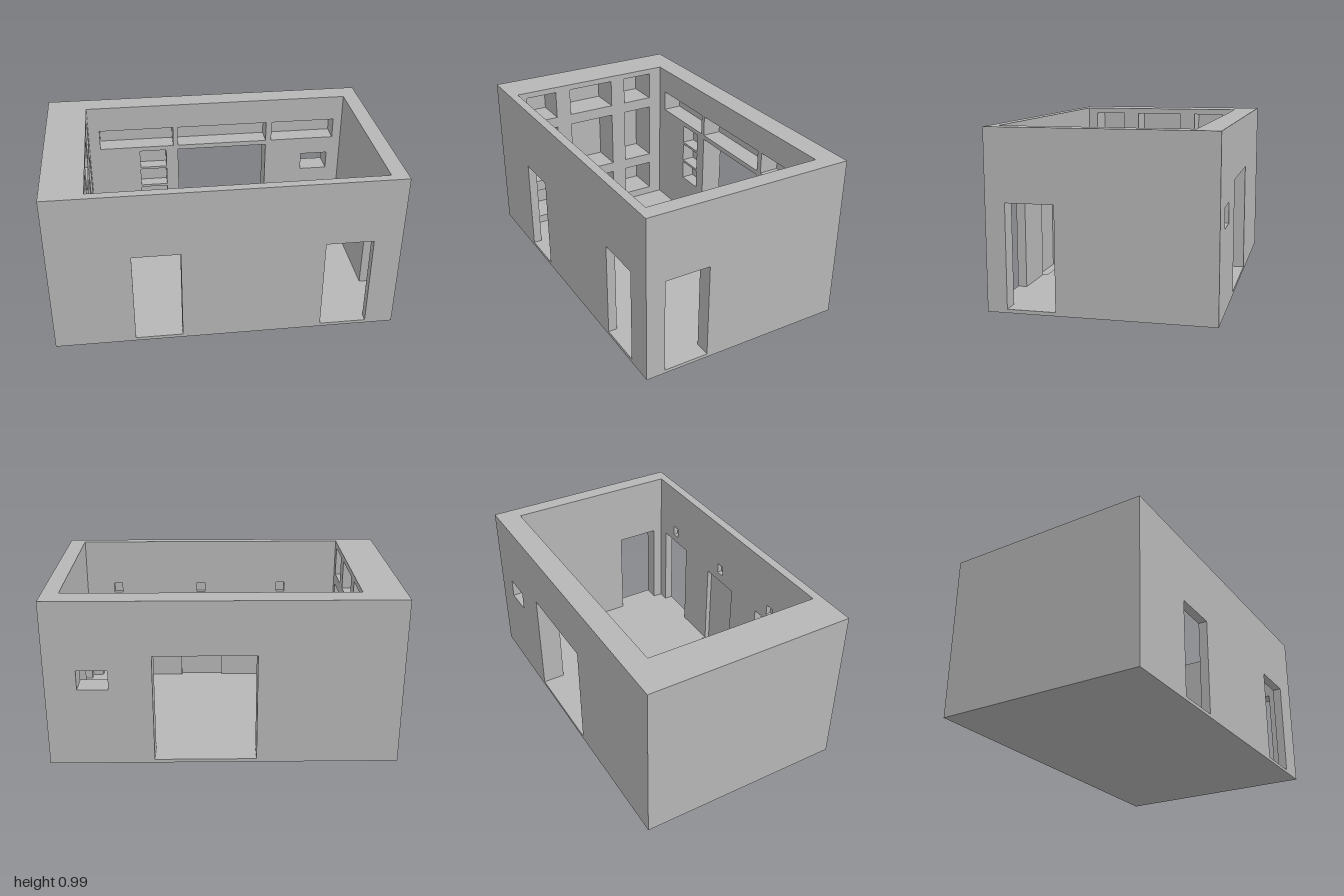
import * as THREE from 'three';

const HX = 1, HZ = 0.617, TOP = 0.985, FLOOR = 0.02;
const INNER = { x0: -0.76, x1: 0.905, z0: -0.48, z1: 0.565 };

// Closed rectangle path for an opening [u0, u1, v0, v1]
function rectPath([u0, u1, v0, v1]) {
  return new THREE.Path([[u0, v0], [u0, v1], [u1, v1], [u1, v0]].map(p => new THREE.Vector2(...p)));
}

// Wall layer: doors [u0, u1, top] are notches from the floor, holes are rectangles
function layerGeometry(u0, u1, thickness, doors = [], holes = []) {
  const shape = new THREE.Shape();
  shape.moveTo(u0, FLOOR);
  for (const [a, b, top] of [...doors].sort((p, q) => p[0] - q[0])) {
    shape.lineTo(a, FLOOR).lineTo(a, top).lineTo(b, top).lineTo(b, FLOOR);
  }
  shape.lineTo(u1, FLOOR).lineTo(u1, TOP).lineTo(u0, TOP).closePath();
  shape.holes = holes.map(rectPath);
  return new THREE.ExtrudeGeometry(shape, { depth: thickness, bevelEnabled: false });
}

export function createModel() {
  const group = new THREE.Group();
  group.name = 'room';
  const grey = new THREE.MeshStandardMaterial({ name: 'plain grey', color: 0xb6b6b6 });

  const add = (name, geometry) => {
    const mesh = new THREE.Mesh(geometry, grey);
    mesh.name = name;
    group.add(mesh);
  };
  // Layer across the room, between two z positions
  const acrossX = (name, z0, z1, doors, holes) =>
    add(name, layerGeometry(-HX, HX, z1 - z0, doors, holes).translate(0, 0, z0));
  // Layer along the room, between two x positions
  const alongZ = (name, x0, x1, doors, holes) =>
    add(name, layerGeometry(INNER.z0, INNER.z1, x1 - x0, doors, holes)
      .rotateY(-Math.PI / 2).translate(x1, 0, 0));

  // Floor slab with a shallow sill groove at the blind doorway
  const sill = 0.015;
  add('floorBase', new THREE.BoxGeometry(2 * HX, sill, 2 * HZ).translate(0, sill / 2, 0));
  const floorShape = new THREE.Shape(
    [[-HX, -HZ], [HX, -HZ], [HX, HZ], [-HX, HZ]].map(p => new THREE.Vector2(...p)));
  floorShape.holes.push(rectPath([0, 0.28, -0.595, -0.537]));
  add('floorSurface', new THREE.ExtrudeGeometry(floorShape, { depth: FLOOR - sill, bevelEnabled: false })
    .rotateX(-Math.PI / 2).translate(0, sill, 0));

  // Front wall: two doorways, a blind doorway and a small lamp niche over each
  const frontDoors = [[-0.535, -0.26, 0.59], [0.56, 0.835, 0.59]];
  const lampNiches = [-0.397, 0.14, 0.698].map(x => [x - 0.027, x + 0.027, 0.635, 0.7]);
  acrossX('frontWallInner', INNER.z1, 0.595, [...frontDoors, [0, 0.28, 0.58]], lampNiches);
  acrossX('frontWallOuter', 0.595, HZ, frontDoors, []);

  // Back wall: wide doorway, window, three long niches and a stack of small ones
  const backDoor = [[-0.185, 0.4, 0.665]];
  const backWindow = [0.645, 0.82, 0.465, 0.58];
  const longNiches = [[-0.69, -0.215], [-0.185, 0.4], [0.437, 0.85]].map(([a, b]) => [a, b, 0.695, 0.825]);
  const smallNiches = [0.275, 0.41, 0.545].map(y => [-0.435, -0.263, y, y + 0.12]);
  acrossX('backWallInner', -0.56, INNER.z0, backDoor, [backWindow, ...longNiches, ...smallNiches]);
  acrossX('backWallMiddle', -0.6, -0.56, backDoor, [backWindow, ...longNiches]);
  acrossX('backWallOuter', -HZ, -0.6, backDoor, [backWindow]);

  // Left wall with a side doorway
  alongZ('leftWall', INNER.x1, HX, [[0.24, 0.507, 0.59]], []);

  // Thick right wall with a grid of shelf niches
  const shelves = [];
  for (const [a, b] of [[-0.395, -0.198], [-0.1, 0.205], [0.305, 0.507]]) {
    for (const [y0, y1] of [[0.07, 0.27], [0.34, 0.705], [0.775, 0.95]]) shelves.push([a, b, y0, y1]);
  }
  alongZ('rightWallShelves', -0.96, INNER.x0, [], shelves);
  alongZ('rightWallOuter', -HX, -0.96, [], []);

  return group;
}
